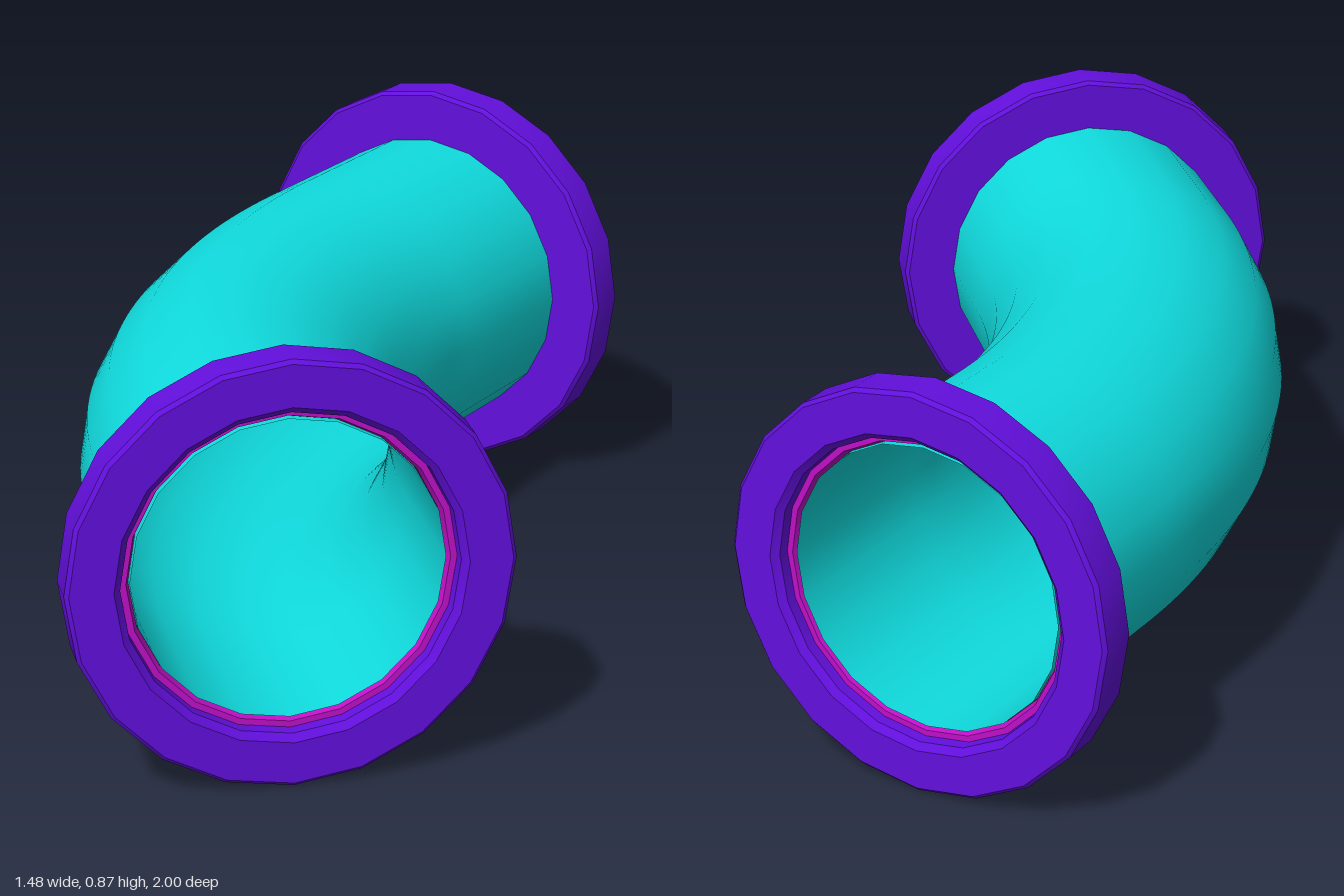
import * as THREE from 'three';
import { toCreasedNormals } from 'three/addons/utils/BufferGeometryUtils.js';

const SIDES = 20;
const AXIS_Y = 0.435;
const BEND = Math.PI / 4;
const R = 1.45;          // bend radius of the centre line
const L1 = 0.355;        // straight run at the front
const L2 = 0.453;        // straight run at the back
const START = new THREE.Vector3(-0.31, AXIS_Y, 1);
const RECESS = 0.04;     // pipe ends sit inside the flanges
const PIPE_OUT = 0.322, PIPE_IN = 0.305, BORE = 0.328, FLANGE_R = 0.435;

const TOTAL = L1 + R * BEND + L2;

// Centre line by distance: straight, 45 degree arc, straight
function centre(s) {
  const a = THREE.MathUtils.clamp((s - L1) / R, 0, BEND);
  const before = Math.min(s, L1);
  const after = Math.max(0, s - L1 - R * BEND);
  return new THREE.Vector3(
    START.x + R * (1 - Math.cos(a)) + after * Math.sin(BEND),
    AXIS_Y,
    START.z - before - R * Math.sin(a) - after * Math.cos(BEND)
  );
}

class PipeCurve extends THREE.Curve {
  getPoint(t, target = new THREE.Vector3()) {
    return target.copy(centre(RECESS + t * (TOTAL - 2 * RECESS)));
  }
}

function mesh(name, geometry, material) {
  const m = new THREE.Mesh(geometry, material);
  m.name = name;
  return m;
}

// Closed ring profile turned about the z axis, outer face at z = 0
function ring(points) {
  const profile = points.map(([r, z]) => new THREE.Vector2(r, z));
  profile.push(profile[0].clone());
  const g = new THREE.LatheGeometry(profile, SIDES);
  g.rotateX(Math.PI / 2);
  return toCreasedNormals(g, 0.5);
}

export function createModel() {
  const model = new THREE.Group();
  model.name = 'pipeBend';
  const teal = new THREE.MeshStandardMaterial({ color: 0x10dde0 });
  const tealInside = new THREE.MeshStandardMaterial({ color: 0x10dde0, side: THREE.DoubleSide });
  const purple = new THREE.MeshStandardMaterial({ color: 0x620fdc });
  const magenta = new THREE.MeshStandardMaterial({ color: 0xc010c8 });

  // Pipe wall, outside and inside
  const curve = new PipeCurve();
  model.add(mesh('pipeOuterWall', new THREE.TubeGeometry(curve, 48, PIPE_OUT, SIDES), teal));
  model.add(mesh('pipeInnerWall', new THREE.TubeGeometry(curve, 48, PIPE_IN, SIDES), tealInside));

  // Flange with softly bevelled rims, and the sealing ring on the pipe end
  const b = 0.008, t = 0.095;
  const flangeGeo = ring([
    [BORE - 0.008, -t], [FLANGE_R - b, -t], [FLANGE_R, -t + b],
    [FLANGE_R, -b], [FLANGE_R - b, 0], [BORE + 0.014, 0], [BORE, -0.014],
  ]);
  const sealGeo = ring([
    [PIPE_IN + 0.001, -RECESS - 0.015], [BORE, -RECESS - 0.015],
    [BORE, -RECESS + 0.003], [PIPE_IN + 0.008, -RECESS + 0.003],
  ]);

  for (const [name, s, angle] of [['front', 0, 0], ['back', TOTAL, Math.PI - BEND]]) {
    const end = new THREE.Group();
    end.name = name + 'End';
    end.position.copy(centre(s));
    end.rotation.y = angle;
    end.add(mesh(name + 'Flange', flangeGeo, purple));
    end.add(mesh(name + 'Seal', sealGeo, magenta));
    model.add(end);
  }
  return model;
}
